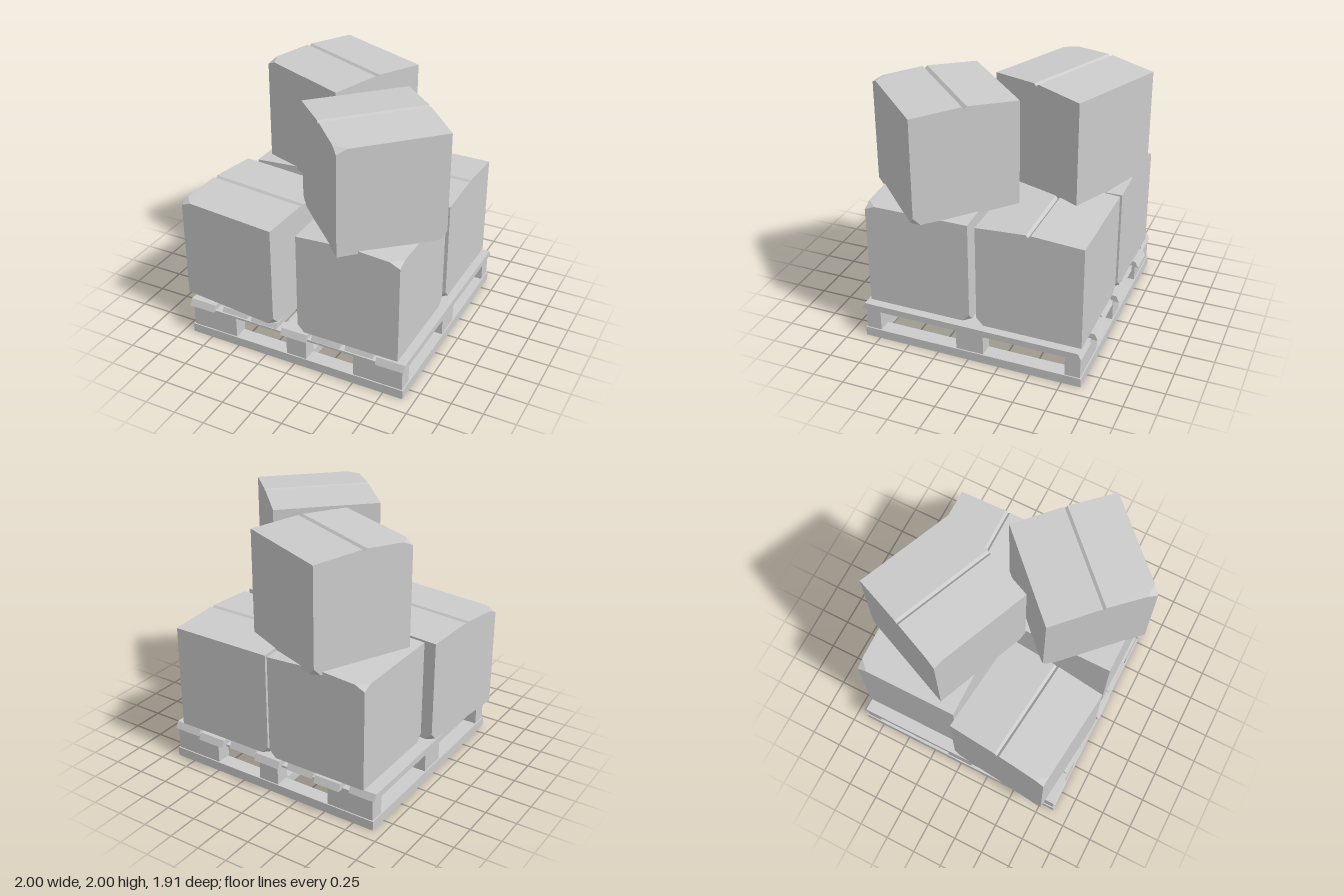
import * as THREE from 'three';
import { ConvexGeometry } from 'three/addons/geometries/ConvexGeometry.js';

const material = new THREE.MeshStandardMaterial({ color: 0xcccccc, flatShading: true });

function addMesh(parent, name, geometry) {
  const mesh = new THREE.Mesh(geometry, material);
  mesh.name = name;
  parent.add(mesh);
  return mesh;
}

// Box given by its limits on each axis
function addBlock(parent, name, x0, x1, y0, y1, z0, z1) {
  const mesh = addMesh(parent, name, new THREE.BoxGeometry(x1 - x0, y1 - y0, z1 - z0));
  mesh.position.set((x0 + x1) / 2, (y0 + y1) / 2, (z0 + z1) / 2);
  return mesh;
}

function createPallet() {
  const pallet = new THREE.Group();
  pallet.name = 'pallet';

  // Bottom frame and middle runner
  for (const [z0, z1] of [[-0.9, -0.78], [0.75, 0.87]])
    addBlock(pallet, 'baseCrossBoard', -0.92, 0.91, 0, 0.075, z0, z1);
  for (const [x0, x1] of [[-0.92, -0.8], [-0.07, 0.1], [0.79, 0.91]])
    addBlock(pallet, 'baseRunner', x0, x1, 0, 0.075, -0.78, 0.75);

  // Spacer blocks: wide at the corners, narrow in the middle row
  for (const [z0, z1] of [[-0.89, -0.77], [0.74, 0.86]]) {
    for (const [x0, x1] of [[-0.91, -0.52], [-0.07, 0.1], [0.5, 0.9]])
      addBlock(pallet, 'spacerBlock', x0, x1, 0.075, 0.25, z0, z1);
    // Thin tie strip under the deck
    addBlock(pallet, 'tieStrip', -0.92, 0.91, 0.245, 0.262, z0, z1);
  }
  for (const [x0, x1] of [[-0.91, -0.79], [-0.07, 0.1], [0.78, 0.9]])
    addBlock(pallet, 'spacerBlock', x0, x1, 0.075, 0.25, -0.12, 0.1);

  // Deck boards: x limits, back end, front end
  const boards = [
    [-0.93, -0.71, -0.9, 0.88], [-0.65, -0.43, -0.94, 0.855], [-0.39, -0.16, -0.9, 0.86],
    [-0.11, 0.11, -0.94, 0.885], [0.14, 0.38, -0.9, 0.86], [0.42, 0.65, -0.94, 0.855],
    [0.69, 0.92, -0.9, 0.885],
  ];
  boards.forEach(([x0, x1, z0, z1], i) => {
    const board = addBlock(pallet, 'deckBoard', x0, x1, 0.25, 0.303, z0, z1);
    // Rough-sawn ends slant back towards the top
    const p = board.geometry.attributes.position;
    for (let k = 0; k < p.count; k++)
      if (p.getY(k) > 0) p.setZ(k, p.getZ(k) - Math.sign(p.getZ(k)) * 0.025);
    board.geometry.computeVertexNormals();
    board.rotation.x = (i % 2 ? 1 : -1) * 0.003;
  });
  return pallet;
}

// Carton of two convex halves that meet in a V seam along x, with dented corners
function createCarton(x, y, z, degrees) {
  const h = 0.415, eave = 0.835, ridge = 0.86, cut = 0.055, dent = 0.08;
  const carton = new THREE.Group();
  carton.name = 'carton';
  for (const s of [-1, 1]) {
    const pts = [];
    const add = (px, py, pz) => pts.push(new THREE.Vector3(px, py, pz));
    for (const e of [-1, 1]) {
      add(e * h, 0, 0.005);
      add(e * h, 0.84, 0.005);
      add(e * h, ridge, s < 0 ? -0.015 : 0.025);
      // Bottom corner, cut off on one diagonal
      if (e === s) {
        add(e * (h - cut), 0, s * h);
        add(e * h, 0, s * (h - cut));
        add(e * h, 0.06, s * h);
      } else add(e * h, 0, s * h);
      // Top corner, one of them dented
      if (e < 0 && s > 0) {
        add(-h + dent, eave, h);
        add(-h, eave + 0.003, h - dent);
        add(-h, eave - 0.035, h);
      } else add(e * h, eave, s * h);
    }
    addMesh(carton, s < 0 ? 'cartonBackHalf' : 'cartonFrontHalf', new ConvexGeometry(pts));
  }
  carton.position.set(x, y, z);
  carton.rotation.y = THREE.MathUtils.degToRad(degrees);
  return carton;
}

export function createModel() {
  const model = new THREE.Group();
  model.name = 'loadedPallet';
  model.add(createPallet());

  // Cartons: x, base y, z, turn in degrees
  const cartons = [
    [0.44, 0.305, -0.465, 0], [-0.415, 0.305, -0.475, -90],
    [-0.545, 0.305, 0.415, -6], [0.435, 0.305, 0.425, 90],
    [-0.235, 1.14, -0.41, -23], [0.412, 1.14, 0.365, 45],
  ];
  for (const c of cartons) model.add(createCarton(...c));
  return model;
}
